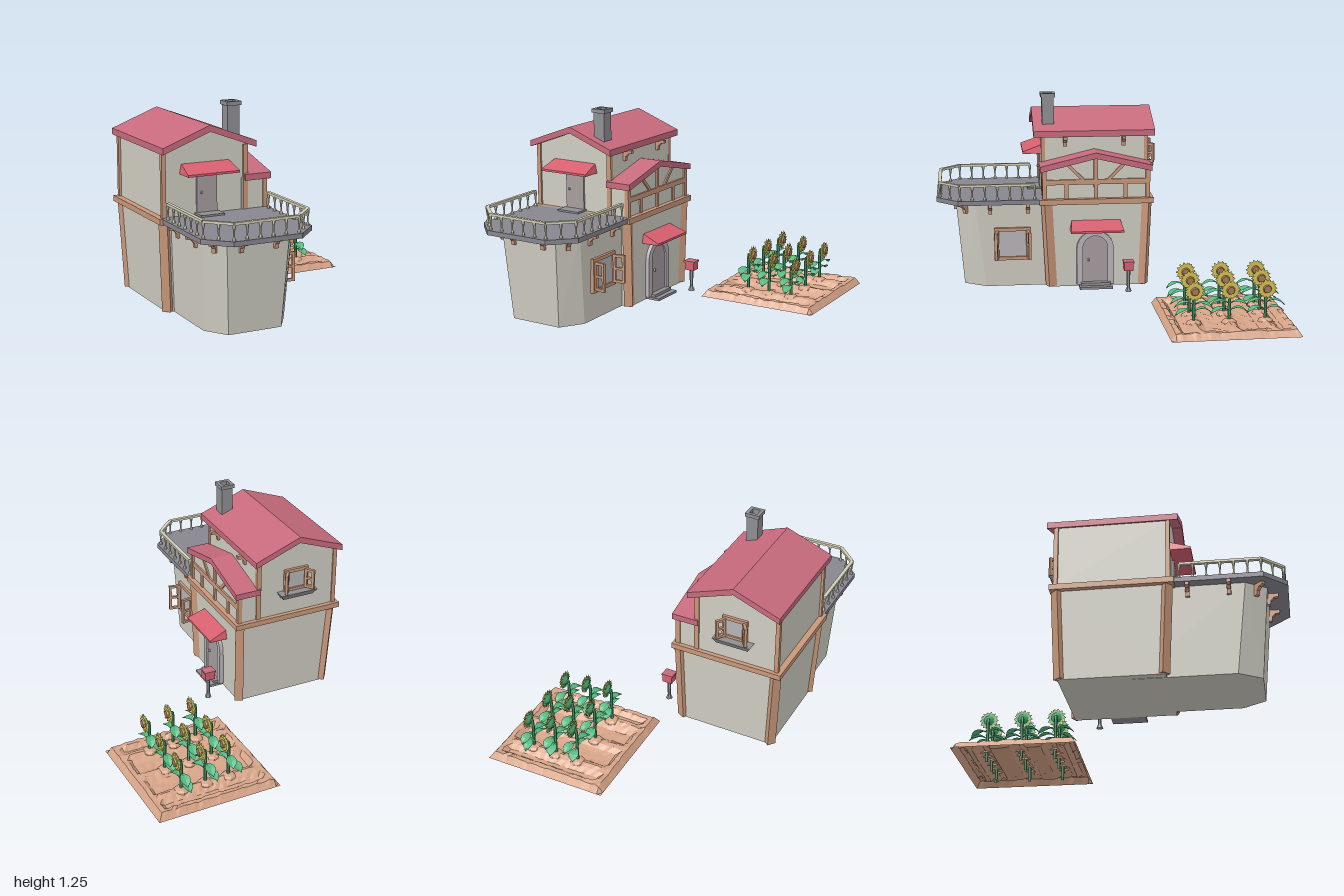
import * as THREE from 'three';
import { ConvexGeometry } from 'three/addons/geometries/ConvexGeometry.js';

const mat = (color, side = THREE.FrontSide) => new THREE.MeshStandardMaterial({ color, flatShading: true, side });
const WALL = mat(0xcfcdc2), WOOD = mat(0xc8977a), ROOF = mat(0xc66a7c), CLOTH = mat(0xd65f6e);
const DECK = mat(0x87858e), STONE = mat(0x8f8f92), RAIL = mat(0xd2ceb4), DOOR = mat(0xa69c9e), FRAME = mat(0xb8b4b8);
const SOIL = mat(0xd6a488, THREE.DoubleSide), STEM = mat(0x45a36c), LEAF = mat(0x55b880, THREE.DoubleSide);
const PETAL = mat(0xd6c055, THREE.DoubleSide), SEED = mat(0xa87c54);

const V = (x, y, z) => new THREE.Vector3(x, y, z);

function add(parent, name, geo, material, x = 0, y = 0, z = 0) {
  const m = new THREE.Mesh(geo, material);
  m.name = name;
  m.position.set(x, y, z);
  parent.add(m);
  return m;
}

// Box given by its min and max corners
function block(parent, name, material, x0, x1, y0, y1, z0, z1) {
  return add(parent, name, new THREE.BoxGeometry(x1 - x0, y1 - y0, z1 - z0), material,
    (x0 + x1) / 2, (y0 + y1) / 2, (z0 + z1) / 2);
}

// Square bar between two points
function bar(parent, name, material, a, b, w, d = w) {
  const m = add(parent, name, new THREE.BoxGeometry(w, d, a.distanceTo(b)), material);
  m.position.copy(a).add(b).multiplyScalar(0.5);
  m.lookAt(b);
  return m;
}

const poly = pts => new THREE.Shape(pts.map(p => new THREE.Vector2(p[0], p[1])));
const extrude = (shape, depth) => new THREE.ExtrudeGeometry(shape, { depth, bevelEnabled: false, curveSegments: 8 });
const alongZ = (shape, z0, z1) => extrude(shape, z1 - z0).translate(0, 0, z0);
const alongX = (shape, x0, x1) => extrude(shape, x1 - x0).rotateY(-Math.PI / 2).translate(x1, 0, 0);
const gable = (a, b, base, eave, peak) => poly([[a, base], [b, base], [b, eave], [(a + b) / 2, peak], [a, eave]]);
const chevron = (a, b, eave, peak, t) => poly([[a, eave - t], [(a + b) / 2, peak - t], [b, eave - t],
  [b, eave], [(a + b) / 2, peak], [a, eave]]);

// Curved wooden bracket reaching out along +x, turned by angle
function bracket(parent, x, y, z, angle, s = 1) {
  const p = poly([[-0.01, 0], [0.06, 0], [0.06, -0.018], [0.035, -0.022], [0.018, -0.04], [0.016, -0.065], [-0.01, -0.065]]);
  const m = add(parent, 'bracket', alongZ(p, -0.011, 0.011), WOOD, x, y, z);
  m.rotation.y = angle;
  m.scale.set(s, s, 1);
}

// Flared awning facing +z, its back on the wall
function awning(parent, w, h, d) {
  const pts = [];
  for (const s of [-1, 1]) pts.push(V(s * w * 0.46, h, 0), V(s * w / 2, 0, 0), V(s * w / 2, 0, d), V(s * w / 2, 0.012, d));
  return add(parent, 'awning', new ConvexGeometry(pts), CLOTH);
}

// Window facing +z with two open shutters
function makeWindow(w, h, reach, angle) {
  const g = new THREE.Group();
  g.name = 'window';
  const t = 0.02;
  const rect = (parent, name, x0, x1, y0, y1, b, d) => {
    block(parent, name, WOOD, x0, x0 + b, y0, y1, -d, d);
    block(parent, name, WOOD, x1 - b, x1, y0, y1, -d, d);
    block(parent, name, WOOD, x0 + b, x1 - b, y0, y0 + b, -d, d);
    block(parent, name, WOOD, x0 + b, x1 - b, y1 - b, y1, -d, d);
  };
  rect(g, 'windowFrame', -w / 2, w / 2, -h / 2, h / 2, t, 0.014);
  block(g, 'windowPane', FRAME, -w / 2 + t, w / 2 - t, -h / 2 + t, h / 2 - t, -0.012, 0.004);
  for (const s of [-1, 1]) {
    const sh = new THREE.Group();
    sh.name = 'shutter';
    rect(sh, 'shutterFrame', 0, reach, -h * 0.42, h * 0.42, 0.015, 0.008);
    block(sh, 'shutterBar', WOOD, 0.015, reach - 0.015, -0.007, 0.007, -0.007, 0.007);
    sh.position.set(s * (w / 2 - t), 0, 0.012);
    sh.rotation.y = s > 0 ? -angle : angle - Math.PI;
    g.add(sh);
  }
  return g;
}

function makeHouse() {
  const g = new THREE.Group();
  g.name = 'house';

  // Lower storey, widening towards the top, with leaning corner posts
  const bottom = [[-0.69, -0.23], [-0.115, -0.23], [-0.115, 0.34], [-0.69, 0.34]];
  const top = [[-0.715, -0.25], [-0.105, -0.25], [-0.105, 0.365], [-0.715, 0.365]];
  add(g, 'lowerWalls', new ConvexGeometry([...bottom.map(p => V(p[0], 0.12, p[1])), ...top.map(p => V(p[0], 0.64, p[1]))]), WALL);
  bottom.forEach((p, i) => {
    const sx = p[0] < -0.4 ? 0.014 : -0.014, sz = p[1] < 0 ? 0.014 : -0.014;
    bar(g, 'cornerPost', WOOD, V(p[0] + sx, 0.125, p[1] + sz), V(top[i][0] + sx, 0.64, top[i][1] + sz), 0.05);
  });
  block(g, 'floorBeam', WOOD, -0.745, -0.078, 0.623, 0.655, -0.275, 0.395);

  // Eight-sided front tower carrying the balcony
  const ring = (x0, x1, z1, zc, c, y) => [[x0, 0.16], [x1, 0.16], [x1, zc], [x1 - c, z1], [x0 + c, z1], [x0, zc]].map(p => V(p[0], y, p[1]));
  add(g, 'towerWalls', new ConvexGeometry([...ring(-0.645, -0.17, 0.836, 0.71, 0.083, 0.118), ...ring(-0.67, -0.15, 0.88, 0.767, 0.08, 0.635)]), WALL);
  const deck = poly([[-0.73, 0.36], [-0.09, 0.36], [-0.09, 0.865], [-0.215, 0.99], [-0.605, 0.99], [-0.73, 0.865]]);
  add(g, 'balconyFloor', extrude(deck, 0.027).rotateX(Math.PI / 2), DECK, 0, 0.655, 0);
  for (const x of [-0.51, -0.31]) bracket(g, x, 0.628, 0.875, -Math.PI / 2);
  bracket(g, -0.63, 0.628, 0.82, -Math.PI * 0.75);
  bracket(g, -0.19, 0.628, 0.82, -Math.PI * 0.25);
  for (const z of [0.68, 0.46]) {
    bracket(g, -0.155, 0.628, z, 0);
    bracket(g, -0.665, 0.628, z, Math.PI);
  }

  // Balcony railing with turned balusters
  const path = [[-0.71, 0.42], [-0.71, 0.855], [-0.595, 0.97], [-0.225, 0.97], [-0.11, 0.855], [-0.11, 0.42]].map(p => V(p[0], 0.742, p[1]));
  const baluster = new THREE.LatheGeometry([[0.009, 0], [0.009, 0.012], [0.004, 0.02], [0.005, 0.05], [0.009, 0.07], [0.009, 0.085]].map(p => new THREE.Vector2(...p)), 6);
  for (let i = 0; i < 5; i++) {
    const a = path[i], b = path[i + 1], n = Math.max(2, Math.round(a.distanceTo(b) / 0.076));
    bar(g, 'handrail', RAIL, a, b, 0.02, 0.014);
    for (let k = 0; k < n + (i === 4 ? 1 : 0); k++) {
      const p = a.clone().lerp(b, k / n);
      add(g, 'baluster', baluster, RAIL, p.x, 0.654, p.z);
    }
  }

  // Upper storey and its gable roof
  add(g, 'upperWalls', alongZ(gable(-0.71, -0.215, 0.65, 1.02, 1.115), -0.25, 0.365), WALL).scale.x = 1;
  add(g, 'mainRoof', alongZ(chevron(-0.735, -0.185, 1.04, 1.144, 0.036), -0.295, 0.42), ROOF);
  for (const z of [-0.245, 0.363]) {
    block(g, 'upperPost', WOOD, -0.724, -0.7, 0.65, 1.02, z - 0.012, z + 0.012);
    block(g, 'upperPost', WOOD, -0.24, -0.212, 0.65, 1.015, z - 0.012, z + 0.012);
  }
  for (const z of [0.235, -0.11]) bracket(g, -0.215, 1.008, z, 0, 0.95);

  // Side bay with timber framing
  add(g, 'bayWalls', alongX(gable(-0.25, 0.37, 0.65, 0.83, 0.91), -0.25, -0.108), WALL);
  add(g, 'bayRoof', alongX(chevron(-0.265, 0.39, 0.85, 0.928, 0.035), -0.235, -0.078), ROOF);
  for (const z of [-0.243, 0.363]) block(g, 'bayPost', WOOD, -0.122, -0.096, 0.65, 0.835, z - 0.013, z + 0.013);
  block(g, 'timberRail', WOOD, -0.115, -0.098, 0.738, 0.768, -0.245, 0.365);
  block(g, 'timberPost', WOOD, -0.115, -0.098, 0.65, 0.9, 0.05, 0.075);
  for (const s of [-1, 1]) {
    block(g, 'timberStud', WOOD, -0.115, -0.099, 0.65, 0.74, 0.062 + s * 0.173 - 0.011, 0.062 + s * 0.173 + 0.011);
    bar(g, 'timberBrace', WOOD, V(-0.107, 0.765, 0.062 + s * 0.075), V(-0.107, 0.865, 0.062 + s * 0.172), 0.016, 0.018);
  }

  // Hollow chimney
  const square = (r, hole) => {
    const s = poly([[-r, -r], [r, -r], [r, r], [-r, r]]);
    s.holes.push(poly([[-hole, -hole], [-hole, hole], [hole, hole], [hole, -hole]]));
    return s;
  };
  add(g, 'chimneyStack', extrude(square(0.035, 0.024), 0.16).rotateX(-Math.PI / 2), STONE, -0.295, 1.07, 0.33);
  add(g, 'chimneyCap', extrude(square(0.043, 0.024), 0.022).rotateX(-Math.PI / 2), STONE, -0.295, 1.23, 0.33);

  // Balcony door, step and awning
  block(g, 'balconyDoor', DOOR, -0.52, -0.4, 0.655, 0.872, 0.36, 0.376);
  block(g, 'doorStep', STONE, -0.53, -0.39, 0.654, 0.665, 0.36, 0.45);
  add(g, 'doorKnob', new THREE.SphereGeometry(0.008, 6, 5), FRAME, -0.495, 0.775, 0.382);
  awning(g, 0.305, 0.053, 0.115).position.set(-0.465, 0.885, 0.364);

  // Arched main door, steps and awning
  const arch = (r, y0, yc) => new THREE.Shape().moveTo(-r, y0).lineTo(r, y0).lineTo(r, yc).absarc(0, yc, r, 0, Math.PI, false).lineTo(-r, y0);
  const surround = arch(0.11, 0.135, 0.35);
  surround.holes.push(arch(0.073, 0.14, 0.357));
  add(g, 'doorSurround', alongX(surround, -0.13, -0.088), FRAME, 0, 0, 0.068);
  add(g, 'mainDoor', alongX(arch(0.076, 0.138, 0.357), -0.13, -0.098), DOOR, 0, 0, 0.068);
  add(g, 'doorKnob', new THREE.SphereGeometry(0.009, 6, 5), FRAME, -0.092, 0.285, 0.11);
  block(g, 'lowerStep', STONE, -0.13, -0.03, 0.12, 0.134, -0.03, 0.165);
  block(g, 'upperStep', STONE, -0.13, -0.062, 0.134, 0.15, -0.02, 0.155);
  const side = awning(g, 0.31, 0.055, 0.11);
  side.position.set(-0.11, 0.468, 0.062);
  side.rotation.y = Math.PI / 2;

  // Tower window and back window with planter
  const towerWindow = makeWindow(0.215, 0.195, 0.07, 1.4);
  towerWindow.position.set(-0.153, 0.38, 0.552);
  towerWindow.rotation.set(0, Math.PI / 2, 0);
  const backWindow = makeWindow(0.15, 0.14, 0.06, 0.95);
  backWindow.position.set(-0.46, 0.865, -0.252);
  backWindow.rotation.y = Math.PI;
  g.add(towerWindow, backWindow);
  const box = [];
  for (const s of [-1, 1]) box.push(V(s * 0.115, 0.8, 0), V(s * 0.115, 0.8, -0.06), V(s * 0.095, 0.765, 0), V(s * 0.095, 0.765, -0.04));
  add(g, 'planter', new ConvexGeometry(box), STONE, -0.46, 0, -0.25);
  return g;
}

function makeMailbox() {
  const g = new THREE.Group();
  g.name = 'mailbox';
  add(g, 'mailboxFoot', new THREE.CylinderGeometry(0.01, 0.02, 0.025, 6), STONE, 0.022, 0.1325, -0.115);
  add(g, 'mailboxPost', new THREE.CylinderGeometry(0.012, 0.009, 0.115, 6), STONE, 0.022, 0.195, -0.115);
  block(g, 'mailboxBody', CLOTH, -0.008, 0.052, 0.25, 0.295, -0.142, -0.088);
  block(g, 'mailboxLid', ROOF, -0.013, 0.056, 0.295, 0.305, -0.146, -0.084);
  return g;
}

// Arched leaf reaching along +z
function leafGeometry() {
  const geo = new THREE.PlaneGeometry(1, 1, 2, 6).rotateX(-Math.PI / 2), p = geo.attributes.position;
  for (let i = 0; i < p.count; i++) {
    const t = p.getZ(i) + 0.5, u = p.getX(i) * 2;
    const w = 0.004 + 0.025 * Math.sin(Math.PI * Math.pow(t, 1.7));
    p.setXYZ(i, u * w * (t > 0.99 ? 0 : 1), 0.1 * t * (1 - t) - 0.015 * t + Math.abs(u) * 0.006, t * 0.108);
  }
  return geo;
}

function makeField() {
  const g = new THREE.Group();
  g.name = 'field';
  let seed = 7;
  const rnd = () => (seed = (seed * 16807) % 2147483647) / 2147483647 - 0.5;

  // Soil bed with a raised rim and three ridges
  const N = 27, S = 0.725, geo = new THREE.PlaneGeometry(S, S, N, N).rotateX(-Math.PI / 2), p = geo.attributes.position;
  for (let i = 0; i < p.count; i++) {
    const x = p.getX(i), z = p.getZ(i), edge = Math.round((S / 2 - Math.max(Math.abs(x), Math.abs(z))) / S * N);
    const ridge = Math.abs(x) < 0.29 ? 0.035 * Math.max(0, Math.cos((z - 0.005) * Math.PI * 2 / 0.205)) : 0.008;
    p.setY(i, edge === 0 ? 0.042 : edge < 3 ? 0.08 + rnd() * 0.012 : 0.056 + ridge + rnd() * 0.007);
  }
  add(g, 'soilBed', geo, SOIL);

  // Sunflowers
  const stem = new THREE.TubeGeometry(new THREE.CatmullRomCurve3([V(0, 0, 0), V(0, 0.15, 0), V(0, 0.26, 0), V(0.008, 0.282, 0), V(0.02, 0.275, 0)]), 12, 0.009, 6);
  const leaf = leafGeometry();
  const petals = (n, R, r) => new THREE.ShapeGeometry(poly(Array.from({ length: n * 2 }, (_, k) => {
    const a = k * Math.PI / n, q = k % 2 ? r : R;
    return [Math.cos(a) * q, Math.sin(a) * q];
  })));
  const outer = petals(14, 0.058, 0.042), inner = petals(14, 0.05, 0.036).rotateZ(0.22);
  const sepals = petals(12, 0.054, 0.036).rotateZ(0.1);
  [[0.24, 0.03], [0.38, 0.02], [0.525, 0]].forEach(([cx, y]) => [-0.415, -0.615, -0.82].forEach(cz => {
    const f = new THREE.Group();
    f.name = 'sunflower';
    f.position.set(cx - 0.367, y, cz + 0.622);
    add(f, 'stem', stem, STEM);
    const head = new THREE.Group();
    head.name = 'flowerHead';
    add(head, 'sepals', sepals, LEAF, 0, 0, -0.005);
    add(head, 'calyx', new THREE.CylinderGeometry(0.032, 0.012, 0.014, 10).rotateX(Math.PI / 2), STEM, 0, 0, -0.012);
    add(head, 'outerPetals', outer, PETAL);
    add(head, 'innerPetals', inner, PETAL, 0, 0, 0.007);
    add(head, 'seedDisc', new THREE.CylinderGeometry(0.02, 0.027, 0.016, 12).rotateX(Math.PI / 2), SEED, 0, 0, 0.009);
    head.position.set(0.026, 0.27, 0);
    head.rotation.y = Math.PI / 2;
    f.add(head);
    for (let k = 0; k < 4; k++) {
      const l = add(f, 'leaf', leaf, LEAF, 0, k < 2 ? 0.14 : 0.18, 0);
      l.rotation.y = (k % 2) * Math.PI + (k < 2 ? 0.15 : -0.15) + rnd() * 0.3;
    }
    const m = add(g, 'soilMound', new THREE.SphereGeometry(0.045, 8, 4, 0, Math.PI * 2, 0, Math.PI / 2), SOIL, f.position.x, 0.075, f.position.z);
    m.scale.y = 0.5;
    g.add(f);
  }));
  g.position.set(0.367, 0, -0.622);
  g.rotation.y = 0.022;
  return g;
}

export function createModel() {
  const model = new THREE.Group();
  model.name = 'sunflowerCottage';
  model.add(makeHouse(), makeMailbox(), makeField());
  return model;
}
